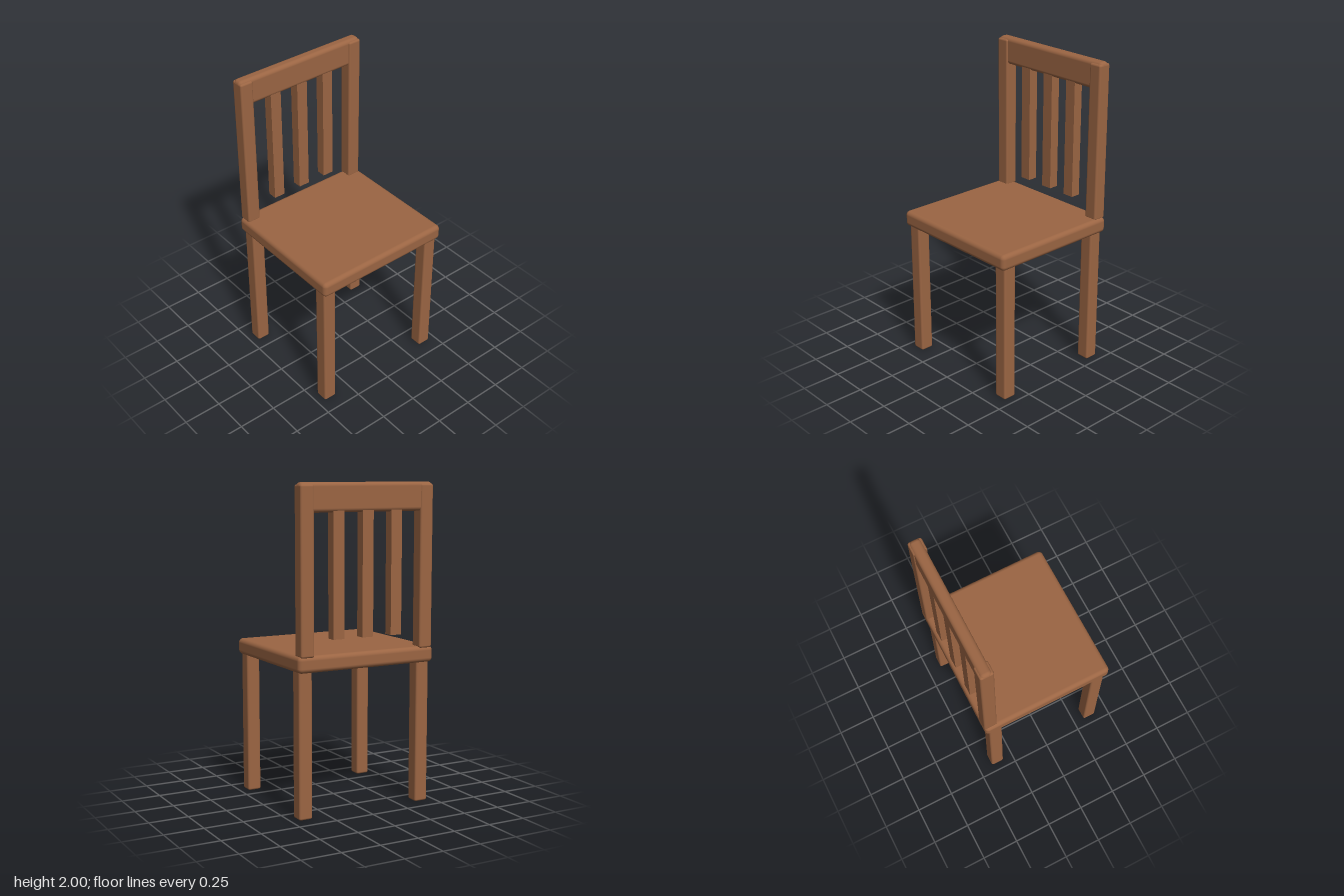
import * as THREE from 'three';
import { RoundedBoxGeometry } from 'three/addons/geometries/RoundedBoxGeometry.js';

export function createModel() {
  const chair = new THREE.Group();
  chair.name = 'chair';

  const wood = new THREE.MeshStandardMaterial({ color: 0x9b6543 });
  wood.name = 'brown wood';

  // Adds a box spanning min..max, with rounded edges when a radius is given
  function addBox(name, min, max, radius = 0) {
    const size = max.map((v, i) => v - min[i]);
    const geometry = radius > 0
      ? new RoundedBoxGeometry(...size, 3, radius)
      : new THREE.BoxGeometry(...size);
    const mesh = new THREE.Mesh(geometry, wood);
    mesh.name = name;
    mesh.position.set(...max.map((v, i) => (v + min[i]) / 2));
    chair.add(mesh);
  }

  // Seat
  addBox('seat', [-0.467, 0.893, -0.437], [0.467, 0.995, 0.437], 0.028);

  // Legs and back posts, mirrored left and right
  for (const [side, x] of [['left', 0.408], ['right', -0.408]]) {
    const x0 = x - 0.044, x1 = x + 0.044;
    addBox(side + 'FrontLeg', [x0, 0, 0.322], [x1, 0.91, 0.41], 0.013);
    addBox(side + 'BackLeg', [x0, 0, -0.407], [x1, 0.91, -0.319], 0.013);
    addBox(side + 'BackPost', [x0, 0.985, -0.438], [x1, 1.988, -0.351], 0.013);
  }

  // Top rail
  addBox('topRail', [-0.452, 1.825, -0.432], [0.452, 2, -0.36], 0.025);

  // Slats hanging from the rail
  for (const x of [-0.198, 0, 0.198]) {
    addBox('backSlat', [x - 0.037, 1.08, -0.427], [x + 0.037, 1.85, -0.364]);
  }

  return chair;
}
